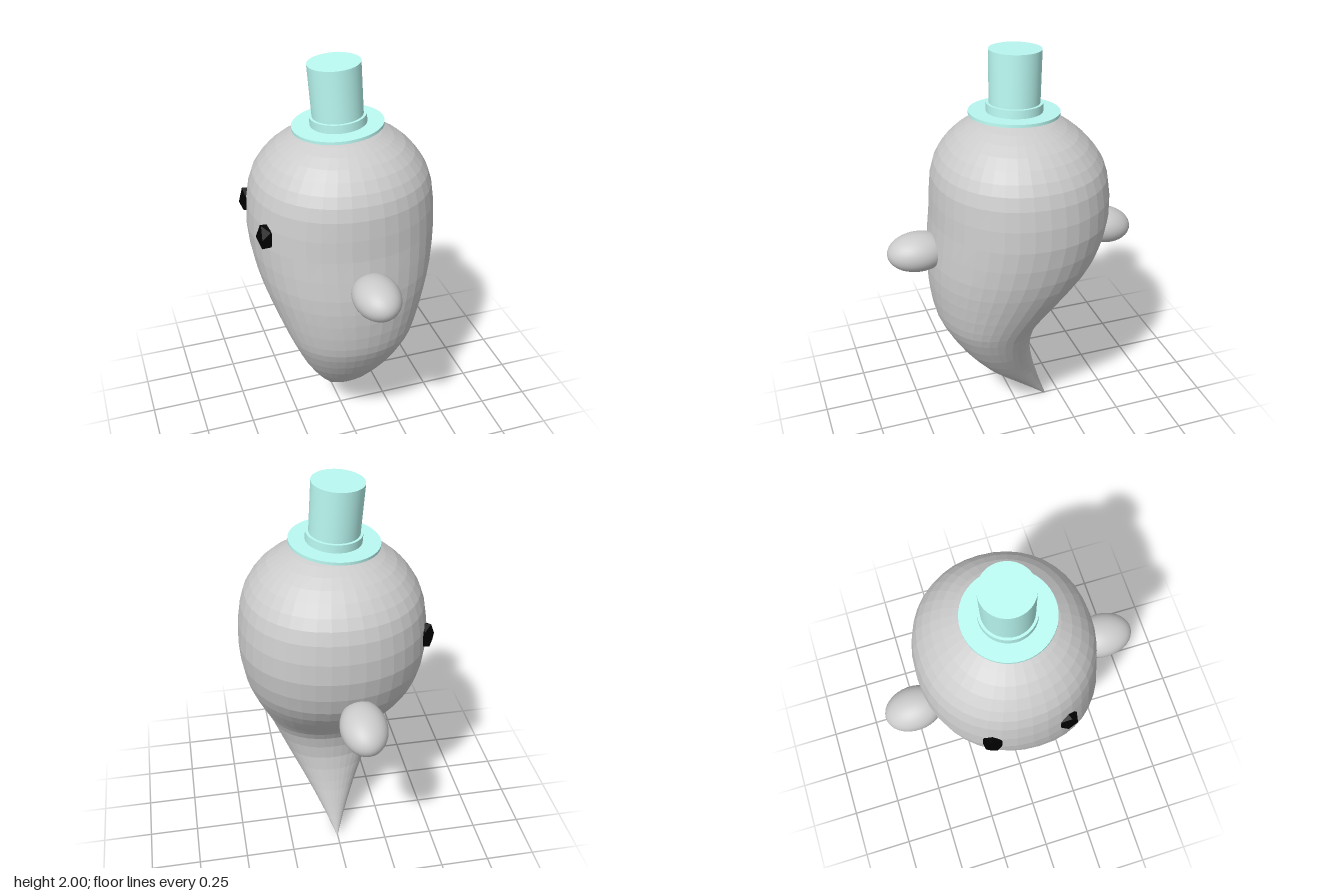
import * as THREE from 'three';

const grey = new THREE.MeshStandardMaterial({ color: 0xcccccc, flatShading: true });
const greySmooth = new THREE.MeshStandardMaterial({ color: 0xcccccc });
const black = new THREE.MeshStandardMaterial({ color: 0x000000, flatShading: true });
const mint = new THREE.MeshStandardMaterial({ color: 0xbbfaf3 });

function addMesh(parent, name, geometry, material, x = 0, y = 0, z = 0) {
  const mesh = new THREE.Mesh(geometry, material);
  mesh.name = name;
  mesh.position.set(x, y, z);
  parent.add(mesh);
  return mesh;
}

// Body sections from tail tip to crown: height, half width, front z, back z
const SECTIONS = [
  [0, 0.006, -0.167, -0.175],
  [0.1, 0.05, -0.05, -0.14],
  [0.2, 0.1, 0.07, -0.11],
  [0.3, 0.152, 0.18, -0.083],
  [0.45, 0.228, 0.3, -0.06],
  [0.6, 0.293, 0.388, -0.085],
  [0.7, 0.333, 0.422, -0.155],
  [0.85, 0.387, 0.44, -0.29],
  [1.0, 0.43, 0.44, -0.393],
  [1.2, 0.454, 0.418, -0.445],
  [1.4, 0.434, 0.402, -0.432],
  [1.51, 0.386, 0.36, -0.38],
  [1.6, 0.302, 0.28, -0.29],
  [1.66, 0.19, 0.18, -0.185],
  [1.687, 0.09, 0.085, -0.09],
  [1.694, 0, 0, 0],
];

// Slightly squared circle: raises the exponent of x^n + z^n = 1 above 2
const squared = (c) => Math.sign(c) * Math.abs(c) ** (2 / 2.12);

function bodyGeometry() {
  const outline = new THREE.CatmullRomCurve3(
    SECTIONS.map(([y, w]) => new THREE.Vector3(w, y, 0)), false, 'catmullrom');
  const depth = new THREE.CatmullRomCurve3(
    SECTIONS.map(([, , f, b]) => new THREE.Vector3(f, b, 0)), false, 'catmullrom');
  // Wrap an open tube onto the swept sections
  const geo = new THREE.CylinderGeometry(1, 1, 1, 40, 30, true);
  const pos = geo.attributes.position;
  for (let i = 0; i < pos.count; i++) {
    const t = THREE.MathUtils.clamp(pos.getY(i) + 0.5, 0, 1);
    const o = outline.getPoint(t), d = depth.getPoint(t);
    pos.setXYZ(i, squared(pos.getX(i)) * o.x, o.y,
      (d.x + d.y) / 2 + squared(pos.getZ(i)) * (d.x - d.y) / 2);
  }
  geo.computeVertexNormals();
  return geo;
}

export function createModel() {
  const model = new THREE.Group();
  model.name = 'ghost';

  addMesh(model, 'body', bodyGeometry(), grey);

  // Stubby arms, one on each side of the face (which looks along -x)
  const armGeo = new THREE.SphereGeometry(1, 32, 20).scale(0.111, 0.094, 0.15);
  addMesh(model, 'frontArm', armGeo, greySmooth, 0.008, 1.052, 0.497);
  const backArm = addMesh(model, 'backArm', armGeo, greySmooth, -0.06, 0.987, -0.5);
  backArm.rotation.x = -0.22;

  // Eyes: coarse flattened gems
  const eyeGeo = new THREE.IcosahedronGeometry(1, 0).scale(0.042, 0.073, 0.052);
  for (const [name, z, turn] of [['frontEye', 0.165, 0.35], ['backEye', -0.2, -0.4]]) {
    addMesh(model, name, eyeGeo, black, -0.416, 1.262, z).rotation.y = turn;
  }

  // Top hat, leaning slightly
  const hat = new THREE.Group();
  hat.name = 'topHat';
  hat.position.set(-0.014, 1.695, 0);
  hat.rotation.set(-0.035, 0, 0.06);
  model.add(hat);
  addMesh(hat, 'hatBrim', new THREE.CylinderGeometry(0.215, 0.215, 0.014, 48), mint);
  addMesh(hat, 'hatBand', new THREE.CylinderGeometry(0.133, 0.133, 0.045, 48), mint, 0.004, 0.025, 0);
  addMesh(hat, 'hatCrown', new THREE.CylinderGeometry(0.123, 0.119, 0.29, 48), mint, 0.003, 0.15, 0);

  return model;
}
